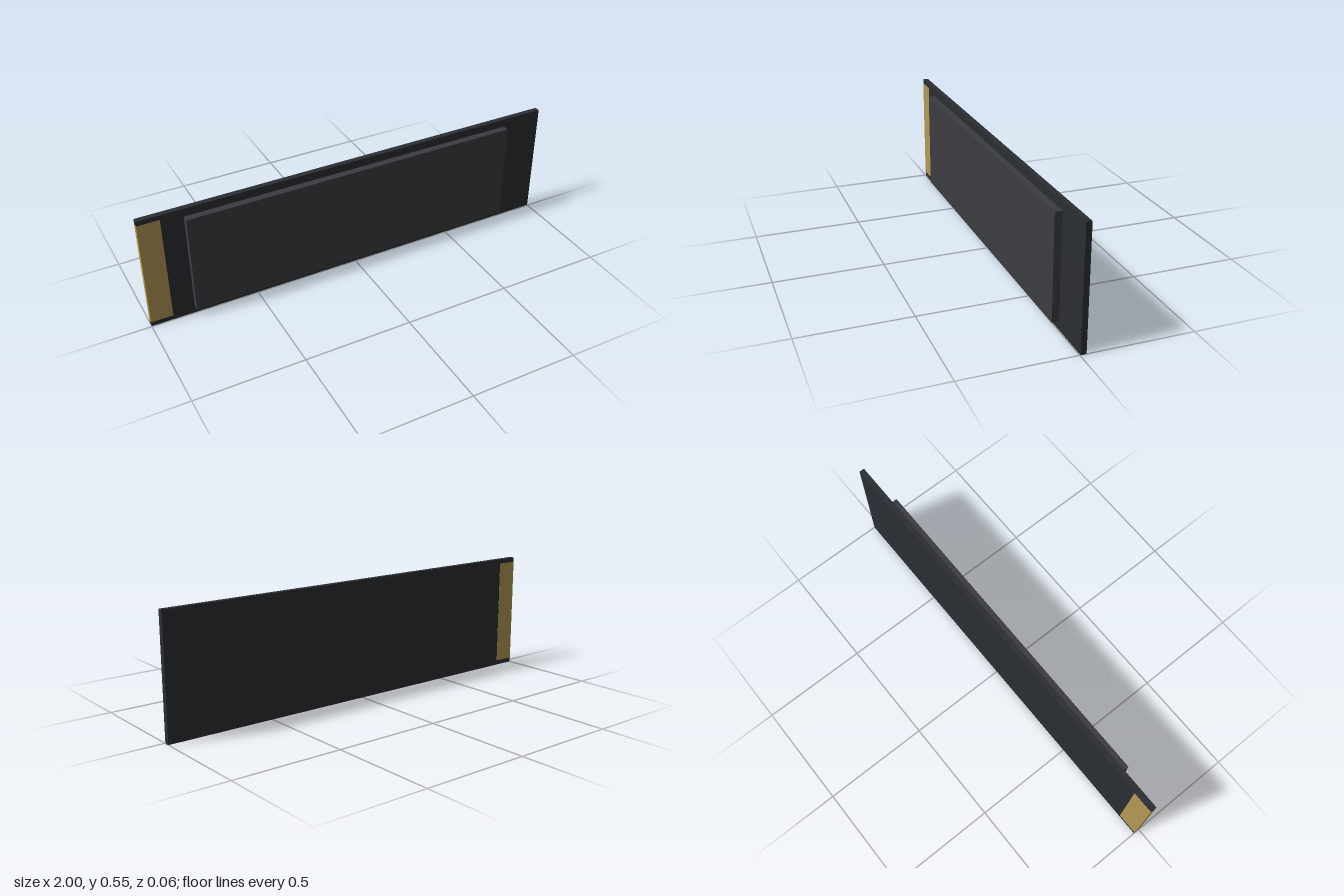
import * as THREE from 'three';

// Box given by its minimum and maximum corners
function slab(name, min, max, color) {
  const size = max.map((v, i) => v - min[i]);
  const mesh = new THREE.Mesh(
    new THREE.BoxGeometry(...size),
    new THREE.MeshStandardMaterial({ color })
  );
  mesh.position.set(...max.map((v, i) => (v + min[i]) / 2));
  mesh.name = name;
  return mesh;
}

export function createModel() {
  const model = new THREE.Group();
  model.name = 'panelBoard';
  const lift = 0.0006; // keeps the strip just clear of the board faces

  // Long upright backing board
  model.add(slab('backBoard', [-1, 0, -0.028], [1, 0.552, -0.003], 0x2a2e32));

  // Raised panel on the front
  model.add(slab('frontPanel', [-0.8, 0.038, -0.003], [0.8, 0.514, 0.029], 0x3a3c40));

  // Gold strip wrapping one end of the board
  model.add(slab('endStrip', [-1 - lift, 0.022, -0.028 - lift], [-0.9, 0.53, -0.003 + lift], 0xb59a55));

  return model;
}
